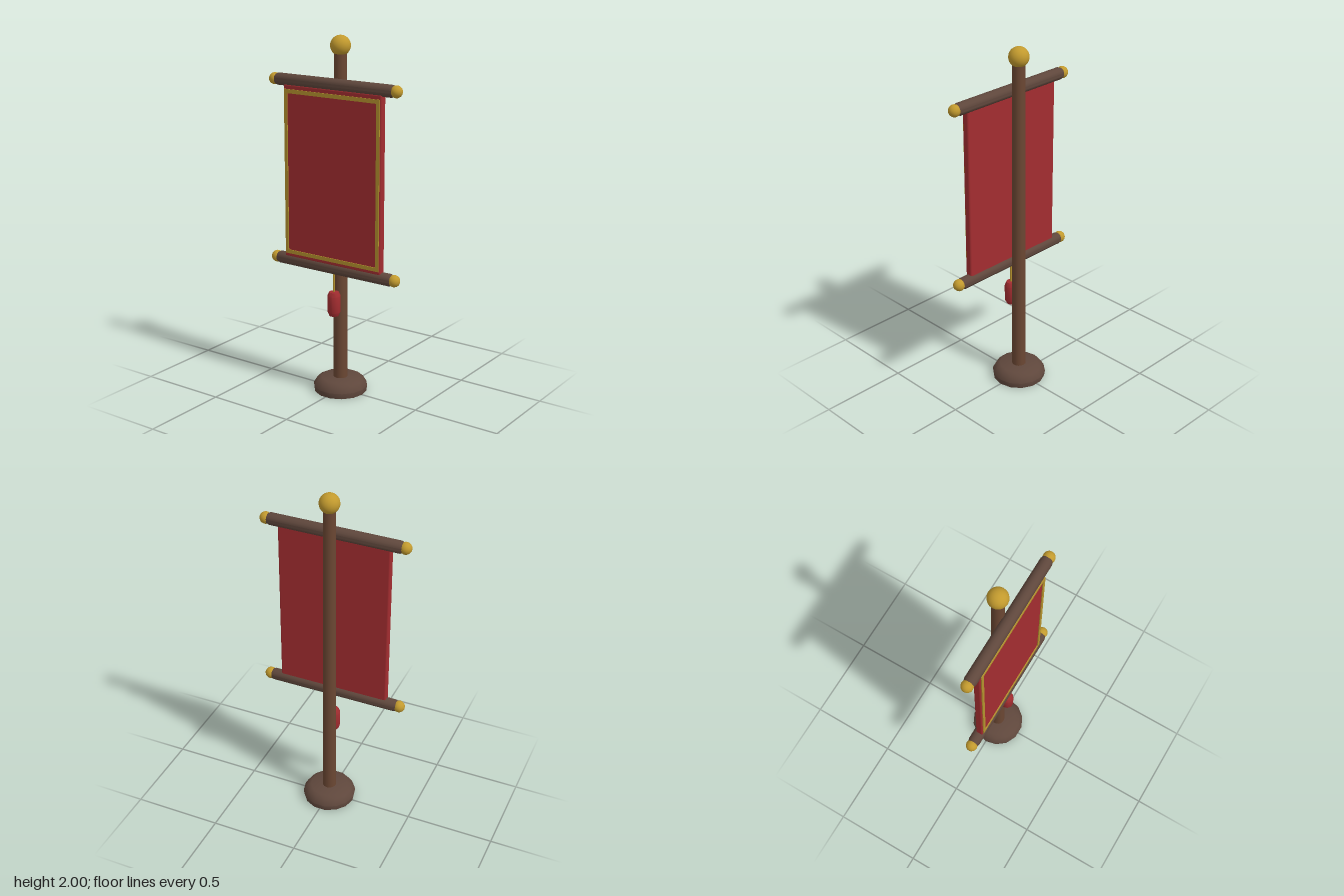
import * as THREE from 'three';
import { toCreasedNormals } from 'three/addons/utils/BufferGeometryUtils.js';
import { RoundedBoxGeometry } from 'three/addons/geometries/RoundedBoxGeometry.js';

const material = (name, color) => {
  const m = new THREE.MeshStandardMaterial({ color });
  m.name = name;
  return m;
};

// Turned solid from [radius, y] pairs, with a side vertex on the x axis
const turned = (points, sides, crease = 0.7) => {
  const g = new THREE.LatheGeometry(points.map(([r, y]) => new THREE.Vector2(r, y)), sides);
  g.rotateY(Math.PI / 2);
  return toCreasedNormals(g, crease);
};

export function createModel() {
  const group = new THREE.Group();
  group.name = 'hangingBanner';
  const darkWood = material('dark wood', 0x5f473c);
  const poleWood = material('pole wood', 0x6b4733);
  const red = material('red cloth', 0xa32d30);
  const gold = material('gold', 0xc29a2e);
  const trimGold = material('trim gold', 0xb5922e);

  const add = (name, geometry, mat, x = 0, y = 0, z = 0) => {
    const mesh = new THREE.Mesh(geometry, mat);
    mesh.name = name;
    mesh.position.set(x, y, z);
    group.add(mesh);
    return mesh;
  };

  const bannerZ = 0.062;

  // Stand and pole
  add('base', turned([[0, 0], [0.148, 0], [0.153, 0.032], [0.132, 0.066], [0.108, 0.079], [0, 0.08]], 14), darkWood);
  add('pole', new THREE.CylinderGeometry(0.034, 0.04, 1.89, 14), poleWood, 0, 0.975, 0);
  add('finial', new THREE.SphereGeometry(0.055, 20, 14), gold, 0, 1.945, 0);

  // Cross bars with a gold knob at each end
  const barProfile = [[0, -0.385], [0.027, -0.385], [0.034, -0.365], [0.034, 0.365], [0.027, 0.385], [0, 0.385]];
  for (const [label, y] of [['upper', 1.745], ['lower', 0.736]]) {
    add(label + 'Bar', turned(barProfile, 14), darkWood, 0, y, bannerZ).rotation.z = Math.PI / 2;
    for (const side of [-1, 1]) {
      add(label + (side > 0 ? 'Left' : 'Right') + 'Knob', new THREE.SphereGeometry(0.033, 16, 12), gold, side * 0.392, y, bannerZ);
    }
  }

  // Cloth panel
  add('cloth', new RoundedBoxGeometry(0.636, 0.97, 0.042, 2, 0.01), red, 0, 1.24, 0.066);

  // Raised border on the front of the cloth
  const rect = (target, x, bottom, top) => {
    target.moveTo(-x, bottom);
    target.lineTo(x, bottom);
    target.lineTo(x, top);
    target.lineTo(-x, top);
    target.closePath();
    return target;
  };
  const border = rect(new THREE.Shape(), 0.309, 0.777, 1.699);
  border.holes.push(rect(new THREE.Path(), 0.289, 0.798, 1.677));
  add('border', new THREE.ExtrudeGeometry(border, { depth: 0.008, bevelEnabled: false }), trimGold, 0, 0, 0.084);

  // Tassel hanging from the lower bar
  add('tasselCord', new THREE.CylinderGeometry(0.006, 0.006, 0.13, 8), trimGold, 0, 0.65, bannerZ);
  add('tassel', turned([[0, 0.46], [0.026, 0.46], [0.036, 0.482], [0.037, 0.575], [0.027, 0.598], [0, 0.6]], 10), red, 0, 0, bannerZ);

  return group;
}
